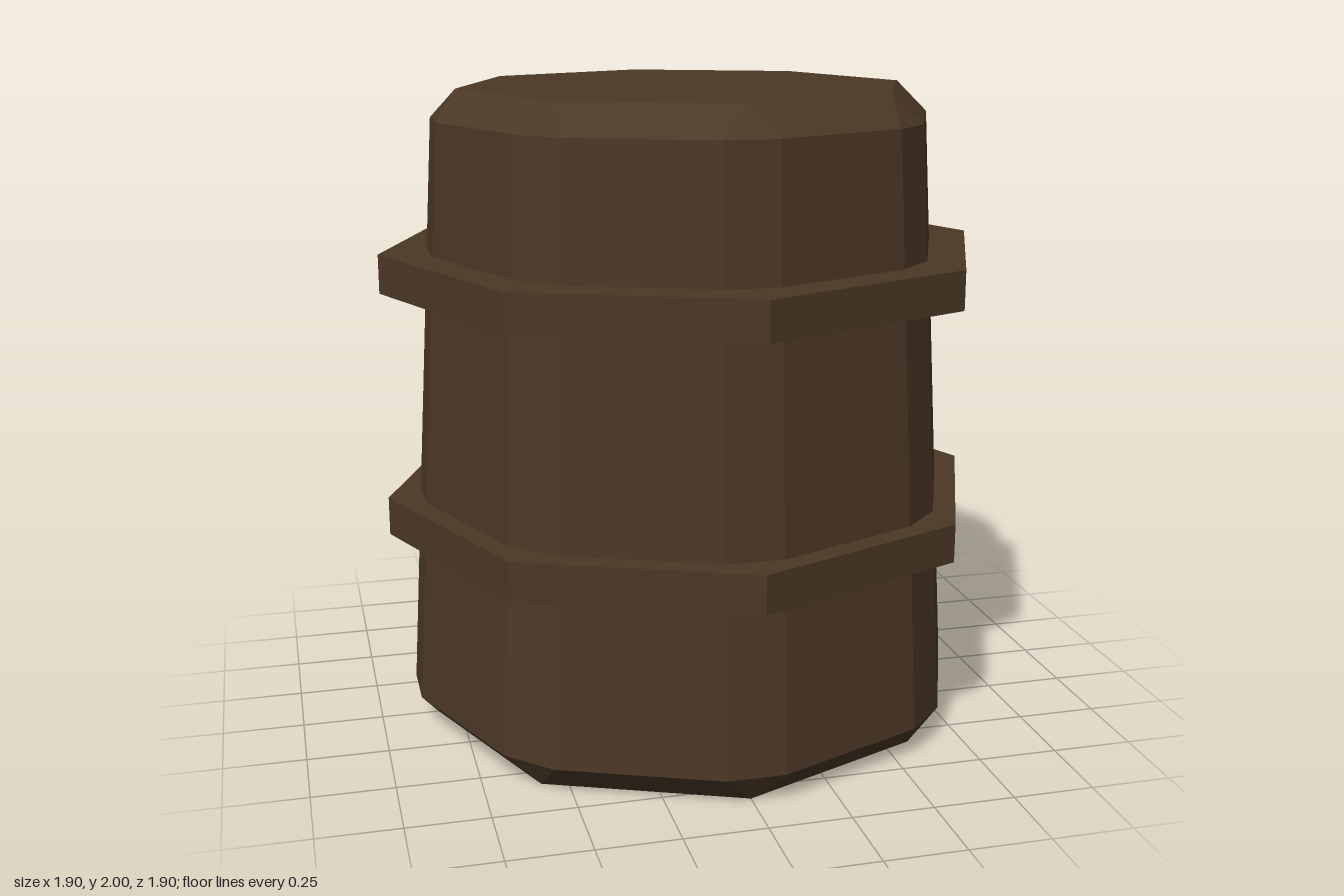
import * as THREE from 'three';

const SIDES = 8;

// Octagon corner k, optionally shifted sideways so each corner becomes two points
function corner(k, radius, y, offset = 0) {
  const a = (k * Math.PI * 2) / SIDES;
  return [
    radius * Math.sin(a) + offset * Math.cos(a),
    y,
    radius * Math.cos(a) - offset * Math.sin(a),
  ];
}

// Tapered octagonal body with chamfered rims and clipped vertical corners
function bodyGeometry() {
  const pos = [];
  const tri = (a, b, c) => pos.push(...a, ...b, ...c);
  const quad = (a, b, c, d) => { tri(a, b, c); tri(a, c, d); };
  const bottom = (k) => corner(k, 0.82, 0);
  const low = (k, s) => corner(k, 0.88, 0.095, s * 0.09);
  const high = (k, s) => corner(k, 0.77, 1.91, s * 0.08);
  const top = (k) => corner(k, 0.7, 2);

  for (let k = 0; k < SIDES; k++) {
    const n = k + 1;
    // clipped corner strip with its two chamfer triangles
    quad(low(k, -1), low(k, 1), high(k, 1), high(k, -1));
    tri(high(k, -1), high(k, 1), top(k));
    tri(bottom(k), low(k, 1), low(k, -1));
    // broad side with its two chamfers
    quad(low(k, 1), low(n, -1), high(n, -1), high(k, 1));
    quad(high(k, 1), high(n, -1), top(n), top(k));
    quad(bottom(k), bottom(n), low(n, -1), low(k, 1));
    // end caps
    tri([0, 2, 0], top(k), top(n));
    tri([0, 0, 0], bottom(n), bottom(k));
  }
  const geo = new THREE.BufferGeometry();
  geo.setAttribute('position', new THREE.Float32BufferAttribute(pos, 3));
  geo.computeVertexNormals();
  return geo;
}

export function createModel() {
  const group = new THREE.Group();
  group.name = 'barrel';
  const wood = new THREE.MeshStandardMaterial({ color: 0x4c3826 });
  wood.name = 'dark brown wood';
  wood.flatShading = true;

  const body = new THREE.Mesh(bodyGeometry(), wood);
  body.name = 'body';
  group.add(body);

  // Two octagonal hoops
  const hoopGeo = new THREE.CylinderGeometry(0.95, 0.95, 0.12, SIDES);
  for (const [name, y] of [['lowerHoop', 0.68], ['upperHoop', 1.45]]) {
    const hoop = new THREE.Mesh(hoopGeo, wood);
    hoop.name = name;
    hoop.position.y = y;
    group.add(hoop);
  }
  return group;
}
